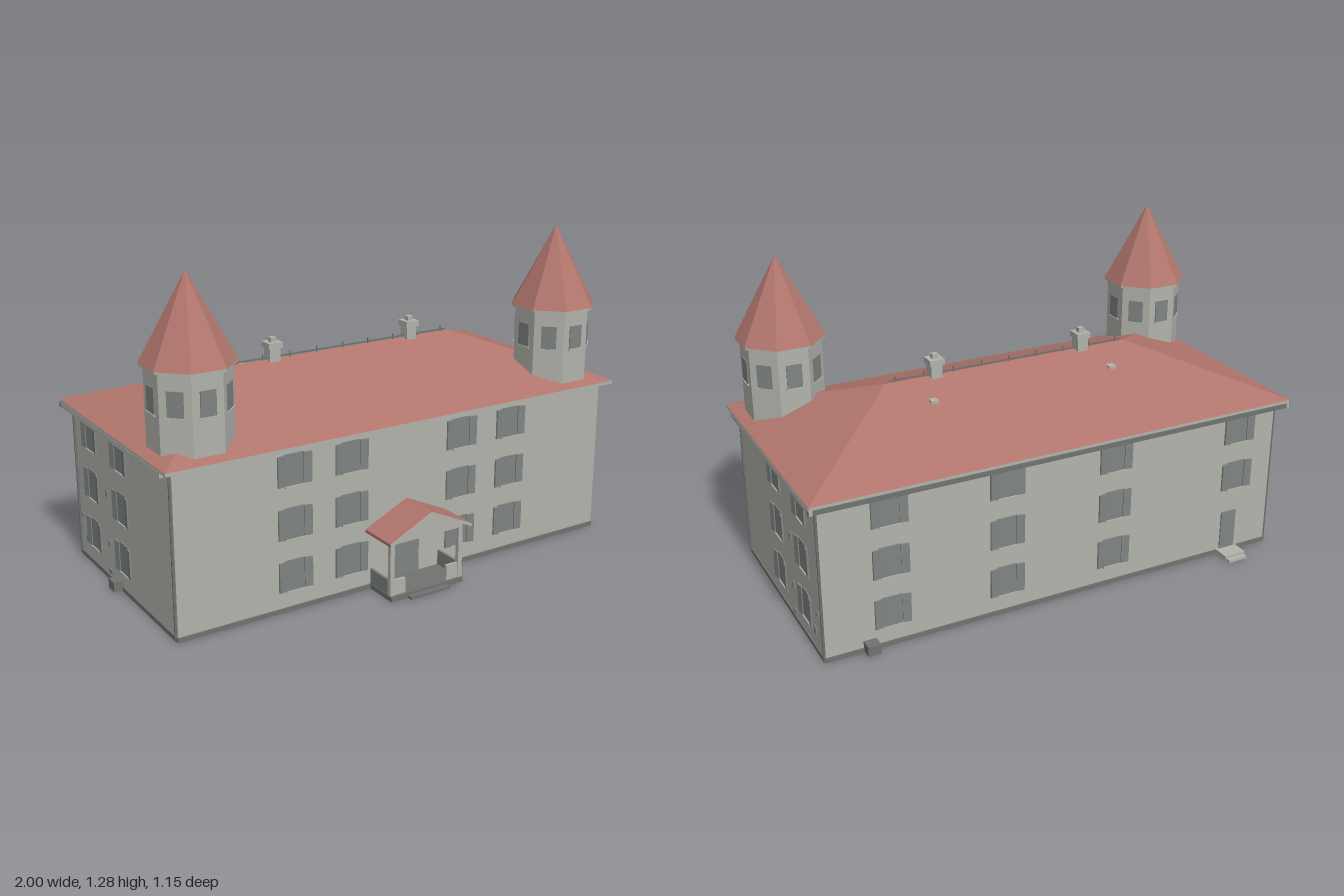
import * as THREE from 'three';

const material = (name, color, extra = {}) => {
  const m = new THREE.MeshStandardMaterial({ color, ...extra });
  m.name = name;
  return m;
};

export function createModel() {
  const wall = material('plaster', 0xb2b3ac, { flatShading: true, side: THREE.DoubleSide });
  const roofRed = material('roof tiles', 0xb1766d, { flatShading: true, side: THREE.DoubleSide });
  const pane = material('window grey', 0x7f8482, { flatShading: true });
  const dark = material('dark trim', 0x70736f, { flatShading: true });

  const model = new THREE.Group();
  model.name = 'building';

  const add = (parent, name, geometry, mat) => {
    const mesh = new THREE.Mesh(geometry, mat);
    mesh.name = name;
    parent.add(mesh);
    return mesh;
  };
  const group = (parent, name) => {
    const g = new THREE.Group();
    g.name = name;
    parent.add(g);
    return g;
  };
  // Box given by its limits on each axis
  const box = (parent, name, mat, [x0, x1], [y0, y1], [z0, z1]) => {
    const mesh = add(parent, name, new THREE.BoxGeometry(x1 - x0, y1 - y0, z1 - z0), mat);
    mesh.position.set((x0 + x1) / 2, (y0 + y1) / 2, (z0 + z1) / 2);
    return mesh;
  };

  const W = 0.96, F = 0.41, B = -0.485, H = 0.635, T = 0.012;

  // Walls, open underneath
  const walls = group(model, 'walls');
  box(walls, 'frontWall', wall, [-W, W], [0, H], [F - T, F]);
  box(walls, 'backWall', wall, [-W, W], [0, H], [B, B + T]);
  for (const s of [-1, 1]) {
    const x = [s * W, s * (W - T)].sort((a, b) => a - b);
    box(walls, 'sideWall', wall, x, [0, H], [B + T, F - T]);
  }

  // Plinth strips and corner downpipes
  const plinth = group(model, 'plinth');
  box(plinth, 'plinthFront', dark, [-W, W], [0, 0.018], [F, F + 0.005]);
  box(plinth, 'plinthBack', dark, [-W, W], [0, 0.018], [B - 0.005, B]);
  for (const s of [-1, 1]) {
    const x = [s * W, s * (W + 0.005)].sort((a, b) => a - b);
    box(plinth, 'plinthSide', dark, x, [0, 0.018], [B, F]);
    for (const z of [F - 0.012, B + 0.004]) {
      const pipe = add(plinth, 'downpipe', new THREE.CylinderGeometry(0.006, 0.006, 0.62, 6), dark);
      pipe.position.set(s * (W + 0.002), 0.31, z);
    }
  }

  // Shuttered window in local space: wall surface at z = 0, facing +z
  const rows = [0.142, 0.345, 0.548];
  const makeWindow = (parent, x, y, z, turn) => {
    const g = group(parent, 'window');
    box(g, 'glass', pane, [-0.04, 0.04], [-0.06, 0.06], [-T - 0.003, 0.004]);
    for (const s of [-1, 1]) {
      const shutter = box(g, 'shutter', pane, [-0.016, 0.016], [-0.058, 0.058], [0, 0.007]);
      shutter.position.x = s * 0.054;
      shutter.position.z = 0.007;
      shutter.rotation.y = -s * 0.15;
    }
    box(g, 'sill', wall, [-0.04, 0.04], [-0.066, -0.06], [0, 0.009]);
    g.position.set(x, y, z);
    g.rotation.y = turn;
  };
  const windows = group(model, 'windows');
  rows.forEach((y, floor) => {
    for (const x of [-0.49, -0.25, 0.25, 0.49]) makeWindow(windows, x, y, F, 0);
    for (const x of [0.7, 0.24, -0.22, -0.79])
      if (floor > 0 || x > -0.5) makeWindow(windows, x, y, B, Math.PI);
    for (const z of [-0.035, -0.315])
      for (const s of [-1, 1]) makeWindow(windows, s * W, y, z, s * Math.PI / 2);
  });

  // Small hatches on the side walls: z, y, width, height
  const hatches = [[0.105, 0.59, 0.03, 0.018], [-0.175, 0.36, 0.015, 0.024], [-0.175, 0.155, 0.015, 0.024],
    [-0.175, 0.04, 0.032, 0.015], [-0.405, 0.092, 0.02, 0.028], [-0.443, 0.178, 0.012, 0.018]];
  for (const s of [-1, 1]) for (const [z, y, w, h] of hatches) {
    const hatch = add(model, 'hatch', new THREE.BoxGeometry(0.009, h, w), pane);
    hatch.position.set(s * (W + 0.002), y, z);
  }

  // Hip roof: four eave corners and two ridge ends
  const rf = 0.45, rb = -0.53, eave = 0.645, rz = -0.04, top = 0.82;
  const pts = [[-1, eave, rf], [1, eave, rf], [1, eave, rb], [-1, eave, rb], [-0.52, top, rz], [0.52, top, rz]];
  const faces = [0, 1, 5, 0, 5, 4, 1, 2, 5, 2, 3, 4, 2, 4, 5, 3, 0, 4];
  const hip = new THREE.BufferGeometry();
  hip.setAttribute('position', new THREE.Float32BufferAttribute(faces.flatMap(i => pts[i]), 3));
  hip.computeVertexNormals();
  add(model, 'mainRoof', hip, roofRed);

  // Eave slab as a ring around the wall tops
  const rect = (P, x, z0, z1) => {
    const p = new P();
    p.moveTo(-x, z0); p.lineTo(x, z0); p.lineTo(x, z1); p.lineTo(-x, z1); p.closePath();
    return p;
  };
  const ring = rect(THREE.Shape, 0.997, -rf + 0.003, -rb - 0.003);
  ring.holes.push(rect(THREE.Path, W - T, -F + T, -B - T));
  const eaves = add(model, 'eaves', new THREE.ExtrudeGeometry(ring, { depth: 0.013, bevelEnabled: false }), wall);
  eaves.rotation.x = -Math.PI / 2;
  eaves.position.y = eave - 0.014;
  box(model, 'backGutter', dark, [-1, 1], [0.613, 0.632], [rb, rb + 0.014]);
  for (const s of [-1, 1]) {
    const x = [s * 0.998, s * 0.985].sort((a, b) => a - b);
    box(model, 'sideGutter', wall, x, [0.613, 0.632], [rb, rf - 0.05]);
  }

  // Ridge rail with posts
  box(model, 'ridgeRail', dark, [-0.5, 0.5], [0.824, 0.83], [rz - 0.003, rz + 0.003]);
  for (let x = -0.48; x < 0.5; x += 0.12)
    box(model, 'ridgePost', dark, [x - 0.002, x + 0.002], [0.81, 0.842], [rz - 0.002, rz + 0.002]);

  // Chimneys and roof vents
  for (const s of [-1, 1]) {
    const c = group(model, 'chimney');
    c.position.set(s * 0.318, 0, rz);
    box(c, 'stack', wall, [-0.023, 0.023], [0.79, 0.865], [-0.023, 0.023]);
    box(c, 'cap', wall, [-0.03, 0.03], [0.865, 0.888], [-0.03, 0.03]);
    box(c, 'pot', wall, [-0.012, 0.012], [0.888, 0.906], [-0.012, 0.012]);
    const x = s * 0.383;
    box(model, 'roofVent', wall, [x - 0.015, x + 0.015], [0.75, 0.78], [-0.187, -0.157]);
  }

  // Octagonal corner towers
  const apothem = 0.143, k = 1 / Math.cos(Math.PI / 8);
  const octagon = (r0, r1, h, open) => new THREE.CylinderGeometry(r0 * k, r1 * k, h, 8, 1, open, Math.PI / 8);
  for (const s of [-1, 1]) {
    const t = group(model, 'tower');
    t.position.set(s * 0.814, 0, 0.267);
    add(t, 'towerWall', octagon(apothem, apothem, 0.31, true), wall).position.y = 0.805;
    add(t, 'towerEaves', octagon(0.156, 0.156, 0.01, false), wall).position.y = 0.954;
    add(t, 'towerRoof', octagon(0, 0.159, 0.317, false), roofRed).position.y = 1.1175;
    for (let i = 0; i < 8; i++) {
      const face = group(t, 'towerFace');
      face.rotation.y = i * Math.PI / 4;
      box(face, 'towerWindow', pane, [-0.03, 0.03], [0.8, 0.892], [apothem - 0.003, apothem + 0.004]);
      box(face, 'towerSill', wall, [-0.034, 0.034], [0.794, 0.8], [apothem, apothem + 0.008]);
    }
  }

  // Entrance porch
  const porch = group(model, 'porch');
  box(porch, 'porchFloor', dark, [-0.165, 0.165], [0, 0.02], [F, 0.555]);
  box(porch, 'porchStep', dark, [-0.09, 0.09], [0, 0.01], [0.555, 0.577]);
  box(porch, 'door', pane, [-0.058, 0.058], [0.02, 0.2], [F - T - 0.003, F + 0.005]);
  const profile = new THREE.Shape([[-0.185, 0.233], [-0.185, 0.245], [0, 0.332], [0.185, 0.245], [0.185, 0.233], [0, 0.318]]
    .map(([x, y]) => new THREE.Vector2(x, y)));
  add(porch, 'porchRoof', new THREE.ExtrudeGeometry(profile, { depth: 0.165, bevelEnabled: false }), roofRed)
    .position.z = F;
  // Pale verge trim along the gable
  add(porch, 'verge', new THREE.ExtrudeGeometry(profile, { depth: 0.003, bevelEnabled: false }), wall)
    .position.z = 0.575;
  const gable = new THREE.Shape([[-0.165, 0.225], [0.165, 0.225], [0.165, 0.243], [0, 0.319], [-0.165, 0.243]]
    .map(([x, y]) => new THREE.Vector2(x, y)));
  add(porch, 'gable', new THREE.ExtrudeGeometry(gable, { depth: 0.015, bevelEnabled: false }), wall)
    .position.z = 0.532;
  for (const s of [-1, 1]) {
    const span = (a, b) => [s * a, s * b].sort((p, q) => p - q);
    box(porch, 'porchPost', wall, span(0.147, 0.165), [0.02, 0.23], [0.53, 0.548]);
    box(porch, 'porchBeam', wall, span(0.147, 0.165), [0.222, 0.238], [F, 0.532]);
    box(porch, 'sideParapet', pane, span(0.152, 0.162), [0.02, 0.08], [F, 0.53]);
    box(porch, 'frontParapet', wall, span(0.095, 0.147), [0.02, 0.08], [0.533, 0.545]);
  }

  // Back door with steps, and utility boxes
  box(model, 'backDoor', pane, [-0.805, -0.735], [0.02, 0.185], [B - 0.005, B + T + 0.003]);
  box(model, 'backStepUpper', wall, [-0.815, -0.72], [0, 0.02], [-0.555, B]);
  box(model, 'backStepLower', wall, [-0.81, -0.725], [0, 0.01], [-0.577, -0.555]);
  box(model, 'backBox', dark, [0.765, 0.815], [0.005, 0.045], [-0.53, B]);
  box(model, 'sideBox', dark, [-1, -W], [0.005, 0.045], [-0.115, -0.065]);

  return model;
}
